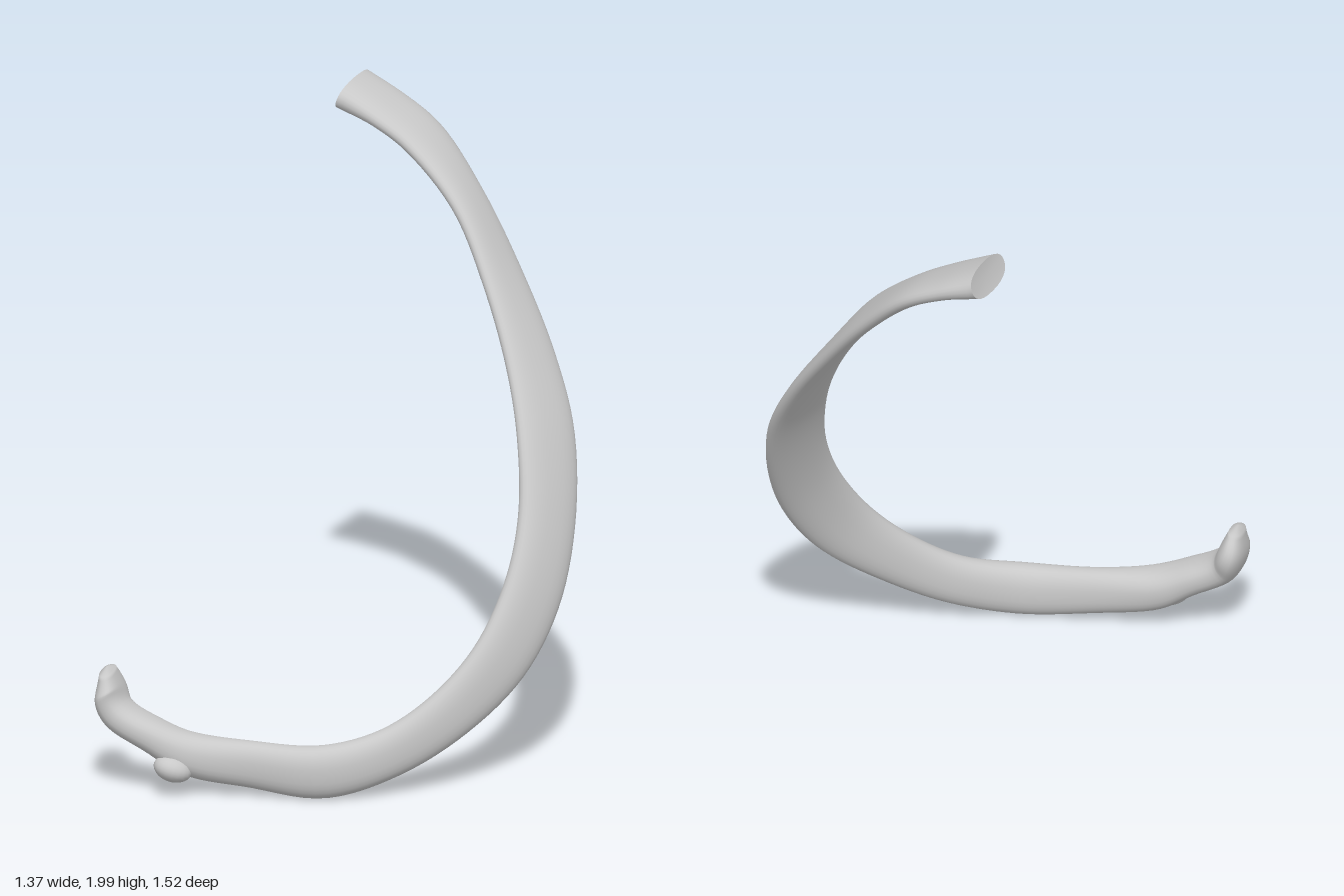
import * as THREE from 'three';

// Cross-sections along the rib: upper edge, lower edge, half thickness
const STATIONS = [
  [[-0.23, 1.945, -0.52], [-0.195, 1.955, -0.76], 0.05],
  [[-0.1, 1.89, -0.495], [-0.08, 1.91, -0.735], 0.038],
  [[0.02, 1.82, -0.465], [0.06, 1.83, -0.69], 0.034],
  [[0.2, 1.665, -0.375], [0.22, 1.66, -0.595], 0.032],
  [[0.33, 1.46, -0.26], [0.38, 1.45, -0.475], 0.032],
  [[0.44, 1.24, -0.125], [0.525, 1.23, -0.345], 0.034],
  [[0.51, 1.04, 0], [0.625, 1.02, -0.22], 0.036],
  [[0.545, 0.83, 0.115], [0.672, 0.76, -0.06], 0.04],
  [[0.53, 0.64, 0.23], [0.66, 0.53, 0.09], 0.042],
  [[0.46, 0.455, 0.345], [0.585, 0.34, 0.23], 0.042],
  [[0.34, 0.31, 0.44], [0.44, 0.185, 0.37], 0.044],
  [[0.2, 0.215, 0.52], [0.25, 0.065, 0.49], 0.048],
  [[0.03, 0.175, 0.6], [0.04, 0.005, 0.59], 0.055],
  [[-0.2, 0.18, 0.625], [-0.2, 0.03, 0.62], 0.052],
  [[-0.38, 0.2, 0.645], [-0.4, 0.065, 0.655], 0.07],
  [[-0.48, 0.235, 0.655], [-0.52, 0.135, 0.66], 0.075],
  [[-0.585, 0.29, 0.655], [-0.65, 0.215, 0.655], 0.08],
  [[-0.608, 0.34, 0.645], [-0.685, 0.3, 0.645], 0.093],
  [[-0.63, 0.385, 0.65], [-0.675, 0.38, 0.65], 0.055],
];
const RINGS = 110, SIDES = 28;

function buildRings() {
  const curve = (f) => new THREE.CatmullRomCurve3(STATIONS.map(f));
  const upper = curve((s) => new THREE.Vector3(...s[0]));
  const lower = curve((s) => new THREE.Vector3(...s[1]));
  const thick = curve((s, i) => new THREE.Vector3(s[2], i * 0.1, 0));
  const mid = (t) => upper.getPoint(t).add(lower.getPoint(t)).multiplyScalar(0.5);
  const soften = (v) => Math.sign(v) * Math.abs(v) ** 0.85;
  const rings = [];
  for (let i = 0; i <= RINGS; i++) {
    const t = i / RINGS;
    const centre = mid(t);
    const tangent = mid(Math.min(1, t + 0.01)).sub(mid(Math.max(0, t - 0.01))).normalize();
    const wide = upper.getPoint(t).sub(lower.getPoint(t)).multiplyScalar(0.5);
    const thin = tangent.clone().cross(wide).normalize().multiplyScalar(thick.getPoint(t).x);
    const ring = [];
    for (let j = 0; j < SIDES; j++) {
      const a = (j / SIDES) * Math.PI * 2;
      ring.push(centre.clone()
        .addScaledVector(wide, soften(Math.cos(a)))
        .addScaledVector(thin, soften(Math.sin(a))));
    }
    rings.push({ ring, centre, tangent });
  }
  return rings;
}

function toGeometry(points, index) {
  const geometry = new THREE.BufferGeometry().setFromPoints(points);
  geometry.setIndex(index);
  geometry.computeVertexNormals();
  return geometry;
}

export function createModel() {
  const model = new THREE.Group();
  model.name = 'rib';
  const bone = new THREE.MeshStandardMaterial({ color: 0xc8c8c8 });
  bone.name = 'bone grey';
  const add = (name, geometry) => {
    const mesh = new THREE.Mesh(geometry, bone);
    mesh.name = name;
    model.add(mesh);
    return mesh;
  };

  // Curved shaft, neck and rounded head as one smooth loft
  const rings = buildRings();
  const points = rings.flatMap((r) => r.ring);
  const index = [];
  for (let i = 0; i < RINGS; i++) {
    for (let j = 0; j < SIDES; j++) {
      const k = (j + 1) % SIDES;
      const a = i * SIDES + j, b = i * SIDES + k;
      index.push(a, b, a + SIDES, b, b + SIDES, a + SIDES);
    }
  }
  const last = rings[RINGS];
  const tip = points.push(last.centre.clone().addScaledVector(last.tangent, 0.015)) - 1;
  for (let j = 0; j < SIDES; j++) {
    index.push(tip, RINGS * SIDES + j, RINGS * SIDES + ((j + 1) % SIDES));
  }
  add('shaftAndHead', toGeometry(points, index));

  // Flat end face, slightly sunken
  const first = rings[0];
  const capIndex = [];
  for (let j = 0; j < SIDES; j++) capIndex.push(SIDES, (j + 1) % SIDES, j);
  const hollow = first.centre.clone().addScaledVector(first.tangent, 0.008);
  add('frontEndFace', toGeometry([...first.ring, hollow], capIndex));

  // Small knob where the neck meets the shaft
  const knob = add('tubercle', new THREE.SphereGeometry(1, 20, 14));
  knob.scale.set(0.062, 0.042, 0.055);
  knob.position.set(-0.425, 0.095, 0.703);
  knob.rotation.set(0, 0.25, -0.3);

  return model;
}
